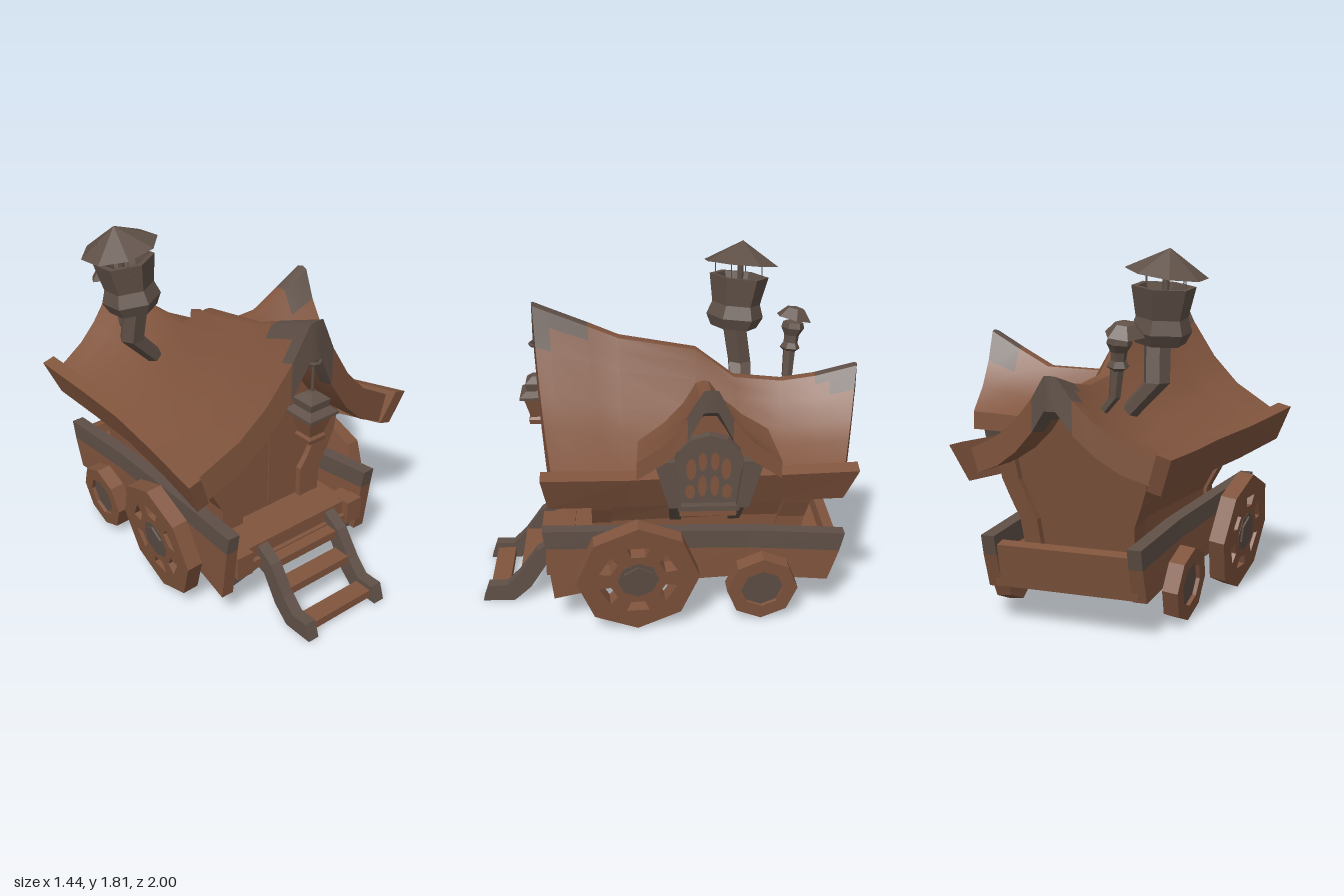
import * as THREE from 'three';
import { toCreasedNormals } from 'three/addons/utils/BufferGeometryUtils.js';

const wood = new THREE.MeshStandardMaterial({ color: 0x80543d });
wood.name = 'brown wood';
const grey = new THREE.MeshStandardMaterial({ color: 0x5f5047 });
grey.name = 'weathered grey';

// Faceted solid whose faces all point outwards
function solid(geo, crease = 0) {
  const groups = geo.groups;
  const g = geo.index ? geo.toNonIndexed() : geo;
  const p = g.attributes.position.array;
  let volume = 0;
  for (let i = 0; i < p.length; i += 9) {
    const [a, b, c] = [0, 3, 6].map(k => new THREE.Vector3(p[i + k], p[i + k + 1], p[i + k + 2]));
    volume += a.dot(b.cross(c));
  }
  if (volume < 0) for (let i = 0; i < p.length; i += 9)
    for (let k = 3; k < 6; k++) [p[i + k], p[i + k + 3]] = [p[i + k + 3], p[i + k]];
  const out = new THREE.BufferGeometry();
  out.setAttribute('position', g.attributes.position);
  out.groups = groups;
  out.computeVertexNormals();
  return crease ? toCreasedNormals(out, crease) : out;
}

// Skin over matching rings; each ring runs along one side and back along the other
function loft(rings, isGrey = () => false, crease = 0) {
  const buckets = [[], []], n = rings[0].length, last = rings.length - 1;
  const quad = (k, a, b, c, d) => buckets[+k].push(...a, ...b, ...c, ...a, ...c, ...d);
  for (let i = 0; i < last; i++) for (let j = 0; j < n; j++) {
    const m = (j + 1) % n;
    quad(isGrey(i, j), rings[i][j], rings[i][m], rings[i + 1][m], rings[i + 1][j]);
  }
  for (let j = 0; j < n / 2 - 1; j++) {
    const a = rings[0], b = rings[last];
    quad(isGrey(0, j), a[j], a[n - 1 - j], a[n - 2 - j], a[j + 1]);
    quad(isGrey(last - 1, j), b[j + 1], b[n - 2 - j], b[n - 1 - j], b[j]);
  }
  for (const q of [0]) buckets[q] = fixCaps(buckets[q]);
  const geo = new THREE.BufferGeometry();
  geo.setAttribute('position', new THREE.Float32BufferAttribute(buckets.flat(), 3));
  geo.addGroup(0, buckets[0].length / 3, 0);
  geo.addGroup(buckets[0].length / 3, buckets[1].length / 3, 1);
  return solid(geo, crease);
}
const fixCaps = list => list;

const hoop = (x, y, z, r, n = 6) => Array.from({ length: n }, (_, i) => {
  const a = i / n * Math.PI * 2;
  return [x + r * Math.cos(a), y, z + r * Math.sin(a)];
});
const lathe = (pts, n) => solid(new THREE.LatheGeometry(pts.map(p => new THREE.Vector2(...p)), n));
const polygon = (r, n, a0 = Math.PI / 2) => Array.from({ length: n }, (_, i) =>
  new THREE.Vector2(r * Math.cos(a0 + i / n * 2 * Math.PI), r * Math.sin(a0 + i / n * 2 * Math.PI)));
const extrude = (shape, depth) => new THREE.ExtrudeGeometry(shape, { depth, bevelEnabled: false, curveSegments: 5 });

// Swept roof profile: share of half width -> share of height
const SWEEP = [[0, 1], [0.06, 0.99], [0.12, 0.88], [0.21, 0.71], [0.42, 0.42], [0.65, 0.2], [1, 0]];
const GABLE = [[0, 1], [0.1, 0.98], [0.31, 0.6], [0.6, 0.28], [1, 0]];
// Ring [across, height, share] of a roof section
function roofSection(profile, half, eave, ridge, thick) {
  const right = profile.map(([u, f]) => [half * u, eave + (ridge - eave) * f, u]);
  const top = [...right.slice(1).reverse().map(([a, y, u]) => [-a, y, u]), ...right];
  return [...top, ...[...top].reverse().map(([a, y, u]) => [a, y - thick * (1.25 - 0.25 * u), u])];
}

export function createModel() {
  const model = new THREE.Group();
  const add = (name, geo, mat = wood, parent = model) => {
    const m = new THREE.Mesh(geo, mat);
    m.name = name;
    parent.add(m);
    return m;
  };
  const box = (name, w, h, d, x, y, z, mat) => {
    const m = add(name, new THREE.BoxGeometry(w, h, d), mat);
    m.position.set(x, y, z);
    return m;
  };
  const two = [wood, grey];

  // Main roof: [z, half width, eave, ridge, edge setback, thickness], weathered at both ridge tips
  const roof = [[0.69, 0.63, 0.92, 1.59, 0.11, 0.17], [0.61, 0.615, 0.91, 1.557, 0.1, 0.16], [0.41, 0.58, 0.89, 1.477, 0.07, 0.12],
    [0.25, 0.55, 0.87, 1.41, 0.03, 0.09], [-0.15, 0.49, 0.85, 1.34, 0, 0.09], [-0.35, 0.475, 0.84, 1.185, 0, 0.09],
    [-0.6, 0.47, 0.84, 1.16, 0, 0.1], [-0.78, 0.47, 0.845, 1.185, -0.04, 0.11], [-0.86, 0.475, 0.85, 1.205, -0.08, 0.12], [-1, 0.48, 0.86, 1.24, -0.13, 0.13]];
  const sections = roof.map(([, w, e, r, , t]) => roofSection(SWEEP, w, e, r, t));
  const reach = [0.21, 0.12, 0, 0, 0, 0, 0, 0.12, 0.21];
  add('roof', loft(sections.map((s, i) => s.map(([a, y, u]) => [a, y, roof[i][0] - roof[i][4] * u])),
    (i, j) => Math.max(sections[0][j][2], sections[0][(j + 1) % sections[0].length][2]) <= reach[i], 0.6), two);

  for (const s of [-1, 1]) {
    // Eave beams
    const eave = [[0.63, 0.72, 0.93, -0.03], [0.2, 0.62, 0.88, 0], [-0.2, 0.56, 0.865, 0], [-0.55, 0.545, 0.86, 0], [-0.93, 0.56, 0.88, 0.06]];
    add('eaveBeam', loft(eave.map(([z, x, y, dz]) => [[s * x, y, z], [s * (x - 0.07), y + 0.02, z],
      [s * (x - 0.14), y - 0.16, z + dz], [s * (x - 0.07), y - 0.18, z + dz]])));

    // Cart side boards with a weathered upper strip
    const board = [[0.65, 0.6, 0.5, 0.54, 0.15], [0.2, 0.2, 0.46, 0.515, 0.21], [-0.4, -0.4, 0.42, 0.485, 0.22], [-0.91, -0.83, 0.41, 0.45, 0.18]];
    add('sideBoard', loft(board.map(([zt, zb, x, t, b]) => {
      const zm = zt + (zb - zt) * 0.3, m = t - 0.1;
      return [[s * x, b, zb], [s * x, m, zm], [s * x, t, zt], [s * (x - 0.07), t, zt], [s * (x - 0.07), m, zm], [s * (x - 0.07), b, zb]];
    }), (i, j) => j > 0 && j < 4), two);

    // Front frame around the door
    const outer = [[0.33, 0.36], [0.335, 0.5], [0.39, 0.6], [0.435, 0.7], [0.46, 0.84], [0.3, 1.02], [0.15, 1.2], [0, 1.39]];
    const inner = [[0.2, 0.36], [0.2, 0.53], [0.25, 0.6], [0.285, 0.67], [0.31, 0.8], [0.28, 0.89], [0.2, 0.97], [0, 1.05]];
    const frame = [...outer, ...inner.reverse()];
    add('doorFrame', loft([0.3, 0.4].map(z => frame.map(([x, y]) => [s * x, y, z]))));

    // Rear corner posts, leaning back
    add('rearPost', loft([[0.36, 0.29], [0.5, 0.3], [0.6, 0.34], [0.7, 0.375], [0.84, 0.39]].map(([y, x]) => {
      const z = -0.57 - (y - 0.5) * 0.2;
      return [[s * x, y, z], [s * (x - 0.09), y, z], [s * (x - 0.09), y, z - 0.14], [s * x, y, z - 0.14]];
    })));

    // Spoked front wheels, leaning out and turned with the side boards
    const front = new THREE.Group();
    front.name = 'frontWheel';
    const rim = new THREE.Shape(polygon(0.315, 8));
    for (let k = 0; k < 6; k++) {
      const a = Math.PI / 2 + k * Math.PI / 3;
      rim.holes.push(new THREE.Path([[0.145, -0.25], [0.205, -0.29], [0.205, 0.29], [0.145, 0.25]].map(([r, d]) =>
        new THREE.Vector2(r * Math.cos(a + d), r * Math.sin(a + d)))));
    }
    const turn = s * Math.PI / 2;
    add('spokedRim', extrude(rim, 0.085).translate(0, 0, -0.042).rotateY(turn), wood, front);
    add('hubPlate', extrude(new THREE.Shape(polygon(0.105, 8)), 0.095).translate(0, 0, -0.05).rotateY(turn), grey, front);
    add('hub', extrude(new THREE.Shape(polygon(0.085, 6)), 0.105).translate(0, 0, -0.05).rotateY(turn), grey, front);
    front.position.set(s * 0.555, 0.315, 0.17);
    front.rotation.set(0, s * 0.08, -s * 0.13);
    model.add(front);

    // Small rear wheels
    const rear = new THREE.Group();
    rear.name = 'rearWheel';
    const ring = new THREE.Shape(polygon(0.185, 8));
    ring.holes.push(new THREE.Path(polygon(0.11, 8)));
    add('rim', extrude(ring, 0.08).translate(0, 0, -0.04).rotateY(turn), wood, rear);
    add('hubPlate', extrude(new THREE.Shape(polygon(0.112, 8)), 0.05).translate(0, 0, -0.03).rotateY(turn), grey, rear);
    rear.position.set(s * 0.47, 0.19, -0.475);
    rear.rotation.set(0, s * 0.05, -s * 0.1);
    model.add(rear);

    // Ladder rails
    const rail = [[1, 0, 0.97, 0.09], [0.83, 0, 0.87, 0.09], [0.74, 0.08, 0.8, 0.16], [0.65, 0.22, 0.7, 0.3], [0.55, 0.25, 0.58, 0.375]];
    add('ladderRail', loft(rail.map(([z0, y0, z1, y1]) =>
      [[s * 0.265, y0, z0], [s * 0.2, y0, z0], [s * 0.2, y1, z1], [s * 0.265, y1, z1]])), grey);
    box('porchBlock', 0.1, 0.13, 0.08, s * 0.38, 0.315, 0.6);
  }

  // Ladder rungs, floor, end beams and axles
  for (const [y, z] of [[0.04, 0.91], [0.16, 0.74], [0.27, 0.64]]) box('ladderRung', 0.42, 0.045, 0.1, 0, y, z);
  box('floor', 0.76, 0.14, 1.38, 0, 0.29, -0.12);
  box('porchBeam', 0.84, 0.12, 0.1, 0, 0.315, 0.55);
  box('porchStep', 0.66, 0.05, 0.05, 0, 0.275, 0.6);
  box('rearBoard', 0.74, 0.22, 0.06, 0, 0.3, -0.83).rotation.x = -0.2;
  for (const [z, base, half] of [[0.54, 0.21, 0.43], [-0.72, 0.24, 0.36]]) add('archBeam', loft([-1, -0.5, 0, 0.5, 1].map(t => {
    const y = base - 0.06 * t * t, x = t * half;
    return [[x, y, z - 0.03], [x, y + 0.06, z - 0.03], [x, y + 0.06, z + 0.03], [x, y, z + 0.03]];
  })), grey);
  for (const [w, y, z] of [[1.04, 0.315, 0.17], [0.9, 0.19, -0.475]])
    add('axle', solid(new THREE.CylinderGeometry(0.035, 0.035, w, 6)).rotateZ(Math.PI / 2), grey).position.set(0, y, z);

  // Cabin, filled up into the roof
  const cabin = [[0.36, 0.44, roof[2], 0], [-0.12, 0.4, roof[4], 0], [-0.35, 0.38, roof[5], 0], [-0.67, 0.37, roof[6], 0.2]];
  add('cabin', loft(cabin.map(([z, w, [, half, e, r], lean]) => {
    const right = [[w * 0.72, 0.34], [w * 0.73, 0.5], [w * 0.87, 0.62], [w * 0.96, 0.72], [w, 0.82],
      ...[[0.5, 0.34], [0.21, 0.71], [0.05, 0.98]].map(([u, f]) => [half * u, e + (r - e) * f - 0.06])];
    return [...right, ...right.map(([x, y]) => [-x, y]).reverse()].map(([x, y]) => [x, y, z - lean * (y - 0.5)]);
  })));

  // Double door
  for (const s of [-1, 1]) {
    const leaf = [[0.003, 0.37], [0.21, 0.37], [0.21, 0.53], [0.3, 0.68], [0.32, 0.8], [0.21, 0.98], [0.003, 1.06]];
    add('doorLeaf', extrude(new THREE.Shape(leaf.map(([x, y]) => new THREE.Vector2(s * x, y))), 0.008)).position.z = 0.36;
  }

  // Dormer roof: [x, edge setback, half width, eave, ridge]
  const DZ = -0.18;
  const dormer = [[0.71, 0.06, 0.35, 0.985, 1.38], [0.55, 0.03, 0.345, 0.98, 1.29], [0.38, 0, 0.34, 0.97, 1.2], [0.08, 0, 0.33, 0.96, 1.19]];
  const dormerSections = dormer.map(([, , w, e, r]) => roofSection(GABLE, w, e, r, 0.09));
  add('dormerRoof', loft(dormerSections.map((q, i) => q.map(([a, y, u]) => [dormer[i][0] - dormer[i][1] * u, y, DZ + a])),
    (i, j) => i === 0 && Math.max(dormerSections[0][j][2], dormerSections[0][(j + 1) % 18][2]) < 0.32, 0.5), two);
  const face = [[0.17, 0.72], [0.22, 0.98], [0.1, 1.12], [0.03, 1.24]];
  const faceRing = [...face, ...face.map(([a, y]) => [-a, y]).reverse()];
  add('dormerBody', loft([[0.3, 0.06], [0.6, 0]].map(([x, d]) => faceRing.map(([a, y]) => [x, y > 1 ? y - d : y, DZ + a]))));
  const post = [[0.99, 0.57, 0.66, 0.165, 0.1], [0.74, 0.45, 0.65, 0.135, 0.06], [0.67, 0.4, 0.51, 0.13, 0.06], [0.53, 0.31, 0.37, 0.12, 0.06]];
  for (const s of [-1, 1])
    add('dormerPost', loft(post.map(([y, x0, x1, a, w]) =>
      [[x0, y, DZ + s * a], [x1, y, DZ + s * a], [x1, y, DZ + s * (a + w)], [x0, y, DZ + s * (a + w)]])), grey);
  box('windowSill', 0.08, 0.025, 0.3, 0.61, 0.735, DZ, grey);
  box('sillBoard', 0.1, 0.05, 0.28, 0.55, 0.695, DZ);

  // Arched window with brown worn spots
  const arc = r => Array.from({ length: 7 }, (_, i) => [r * Math.cos(i * Math.PI / 6), 0.95 + r * Math.sin(i * Math.PI / 6)]);
  add('windowArch', loft([0.59, 0.65].map(x => [...arc(0.175), ...arc(0.125).reverse()].map(([a, y]) => [x, y, DZ + a]))), grey);
  const pane = new THREE.Shape([[-0.16, 0.74], [0.16, 0.74], ...arc(0.16)].map(p => new THREE.Vector2(...p)));
  add('windowPane', extrude(pane, 0.008).rotateY(Math.PI / 2), grey).position.set(0.6, 0, DZ);
  for (const s of [-1, 1]) for (const [a, y, w, h] of [[0.03, 0.97, 0.022, 0.05], [0.085, 0.93, 0.025, 0.06], [0.03, 0.84, 0.022, 0.06], [0.09, 0.81, 0.025, 0.04]]) {
    const spot = add('wornSpot', new THREE.CircleGeometry(1, 8).scale(w, h, 1).rotateY(Math.PI / 2));
    spot.position.set(0.611, y, DZ + s * a);
  }

  // Large chimney
  add('chimneyPipe', loft([hoop(-0.13, 0.98, -0.41, 0.06), hoop(-0.3, 1.16, -0.41, 0.068), hoop(-0.29, 1.38, -0.375, 0.07)]), grey);
  const pot = add('chimneyPot', lathe([[0, 0], [0.125, 0], [0.155, 0.06], [0.13, 0.13], [0.16, 0.28], [0.13, 0.28], [0.11, 0.2], [0, 0.2]], 6), grey);
  pot.position.set(-0.305, 1.35, -0.375);
  pot.rotation.set(-0.1, 0, 0.1);
  const cap = add('chimneyCap', lathe([[0, 0.03], [0.205, -0.03], [0, 0.09]], 8), grey);
  cap.position.set(-0.355, 1.72, -0.415);
  cap.rotation.set(-0.17, Math.PI / 8, 0.2);
  for (let k = 0; k < 4; k++) {
    const a = k * Math.PI / 2 + 0.4;
    add('capRod', new THREE.CylinderGeometry(0.003, 0.003, 0.16, 5), grey)
      .position.set(-0.34 + 0.13 * Math.cos(a), 1.65, -0.4 + 0.13 * Math.sin(a));
  }
  add('capPost', new THREE.CylinderGeometry(0.016, 0.016, 0.26, 6), grey).position.set(-0.345, 1.64, -0.41);

  // Small chimney
  add('smallPipe', loft([hoop(-0.08, 0.99, -0.66, 0.025), hoop(-0.18, 1.11, -0.66, 0.03), hoop(-0.2, 1.27, -0.67, 0.035)]), grey);
  const smallPot = add('smallPot', lathe([[0, 0], [0.03, 0], [0.055, 0.02], [0.038, 0.05], [0.04, 0.09], [0.062, 0.13], [0.055, 0.16], [0, 0.18]], 6), grey);
  smallPot.position.set(-0.2, 1.24, -0.67);
  smallPot.rotation.set(-0.12, 0, 0.12);
  const smallCap = add('smallCap', lathe([[0, 0], [0.1, -0.025], [0.05, 0.03], [0, 0.04]], 6), grey);
  smallCap.position.set(-0.25, 1.435, -0.7);
  smallCap.rotation.set(-0.3, 0.5, 0.15);

  // Hanging lantern
  const lanternPart = (name, pts, mat) =>
    add(name, lathe(pts.map(([r, y]) => [r * 1.4, y]), 4).rotateY(Math.PI / 4), mat).position.z = 0.67;
  lanternPart('lantern', [[0, 0.94], [0.05, 0.94], [0.055, 0.965], [0.045, 0.98], [0.075, 1.09], [0, 1.1]], wood);
  lanternPart('lanternCap', [[0, 1.09], [0.095, 1.09], [0.095, 1.105], [0.06, 1.13], [0.065, 1.17], [0.03, 1.2], [0, 1.21]], grey);
  add('lanternRod', new THREE.CylinderGeometry(0.008, 0.008, 0.18, 6), grey).position.set(0, 1.29, 0.67);
  add('lanternHook', new THREE.TorusGeometry(0.035, 0.01, 5, 8), grey).rotation.x = Math.PI / 2;
  model.children.at(-1).position.set(0, 1.37, 0.67);
  return model;
}
